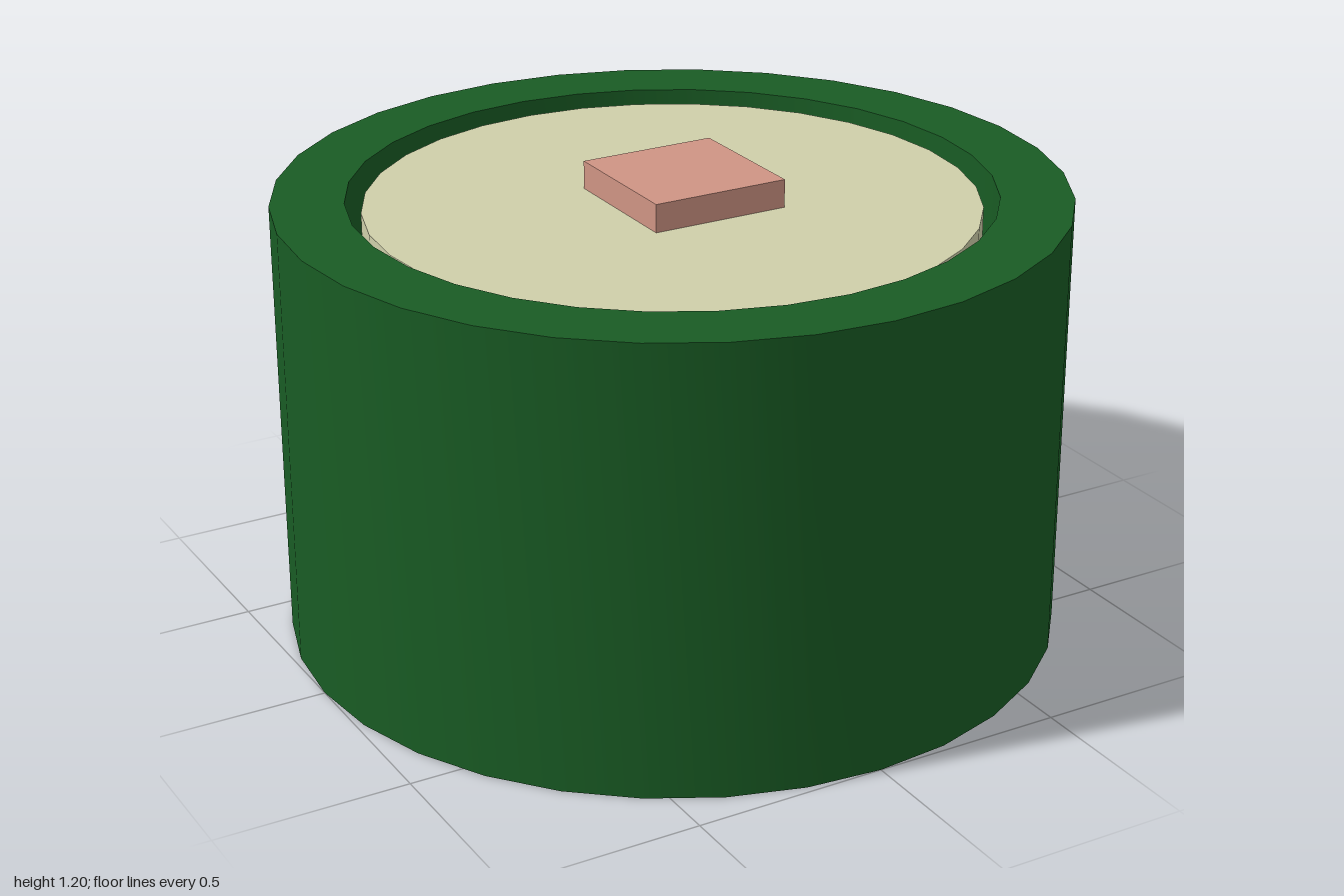
import * as THREE from 'three';
import { toCreasedNormals } from 'three/addons/utils/BufferGeometryUtils.js';

const SIDES = 32;
const HEIGHT = 1.155, FLOOR = 0.19, FILL_TOP = 1.127, BLOCK_TOP = 1.2;

export function createModel() {
  const model = new THREE.Group();

  const add = (name, geometry, color, x = 0, y = 0) => {
    const mesh = new THREE.Mesh(geometry, new THREE.MeshStandardMaterial({ color }));
    mesh.name = name;
    mesh.position.set(x, y, 0);
    model.add(mesh);
  };

  // Thick-walled round pot with a closed base and an open top
  const profile = [[0, 0], [1, 0], [1, HEIGHT], [0.815, HEIGHT], [0.815, FLOOR], [0, FLOOR]];
  const pot = new THREE.LatheGeometry(profile.map(([r, y]) => new THREE.Vector2(r, y)), SIDES);
  add('pot', toCreasedNormals(pot, 0.6), 0x195c24);

  // Pale filling, a little narrower than the cavity and just below the rim
  const depth = FILL_TOP - FLOOR;
  add('filling', new THREE.CylinderGeometry(0.775, 0.775, depth, SIDES), 0xcfcfaa, 0, FLOOR + depth / 2);

  // Small square block resting on the filling, slightly off centre
  const blockHeight = BLOCK_TOP - FILL_TOP;
  add('block', new THREE.BoxGeometry(0.366, blockHeight, 0.37), 0xcf9484, 0.032, FILL_TOP + blockHeight / 2);

  return model;
}
